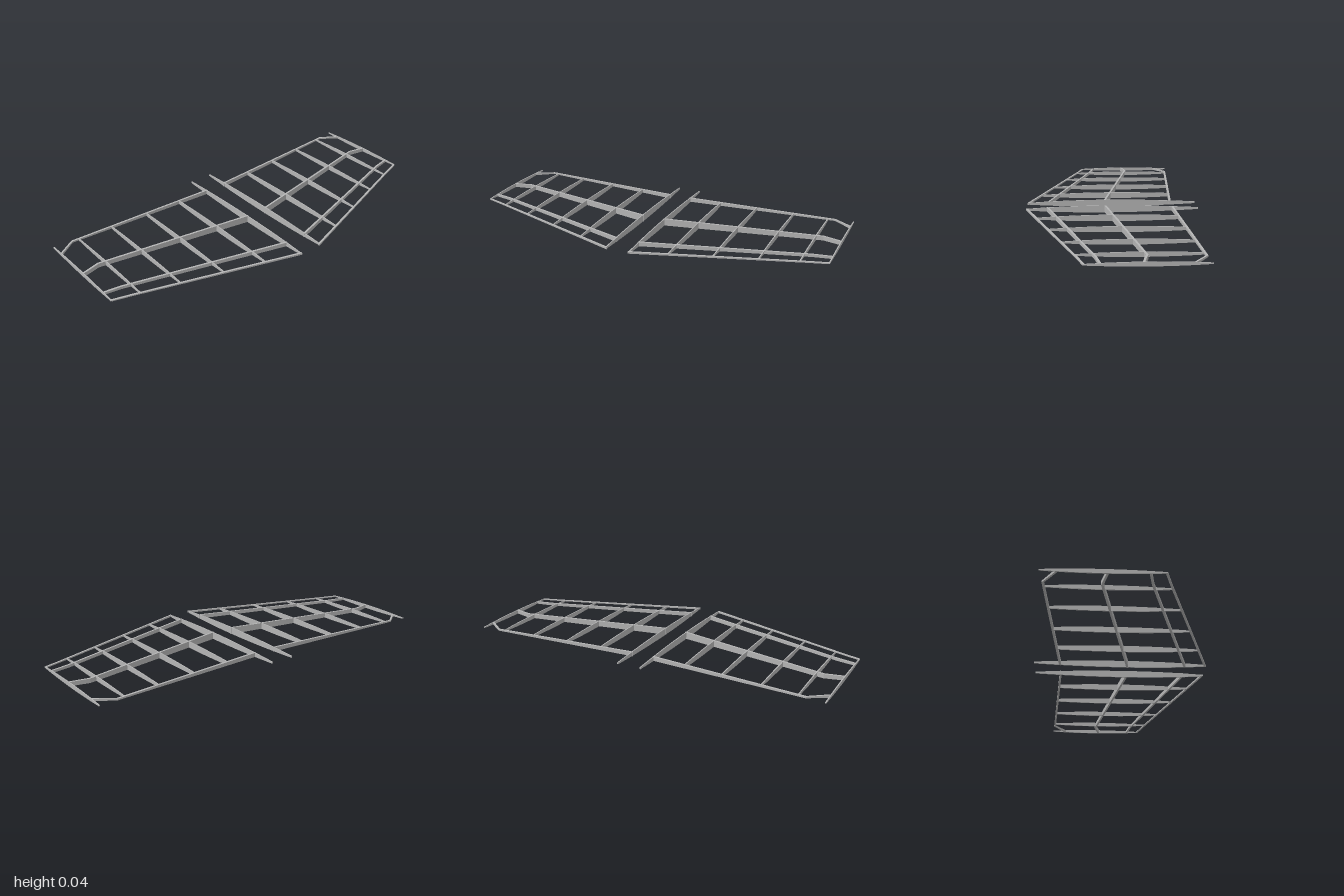
import * as THREE from 'three';

const MID_Y = 0.0188;

// Plan outlines of the spanwise members, as [x, z] from root to tip
const SPARS = {
  leadingEdge: [[0.06, 0.461], [0.9, 0.186], [0.996, 0.157]],
  frontSpar: [[0.06, 0.349], [0.9, 0.105], [0.996, 0.087]],
  mainSpar: [[0.06, 0.036], [0.9, -0.122], [0.996, -0.1]],
  rearSpar: [[0.06, -0.329], [0.9, -0.386], [0.996, -0.321]],
};
const RIBS = [0.065, 0.25, 0.46, 0.672, 0.862, 0.997];

// z of a member at a given x
function zAt(path, x) {
  const i = x > path[1][0] ? 1 : 0;
  const [x0, z0] = path[i], [x1, z1] = path[i + 1];
  return z0 + ((z1 - z0) * (x - x0)) / (x1 - x0);
}

// Half depth of the symmetric aerofoil, thickest at the main spar
function halfDepth(x, z) {
  const t = (x - 0.06) / 0.937;
  const peak = THREE.MathUtils.lerp(0.036, -0.125, t);
  const nose = zAt(SPARS.leadingEdge, x) + 0.005;
  const tail = THREE.MathUtils.lerp(-0.47, -0.4, t);
  const u = Math.min(1, z > peak ? (z - peak) / (nose - peak) : (peak - z) / (peak - tail));
  return THREE.MathUtils.lerp(0.0188, 0.0105, t) * (1 - 0.76 * u * u);
}

// Loft a rectangular section along a plan path, wx and wz being half widths
function loft(path, wx, wz) {
  const pos = [], index = [];
  path.forEach(([x, z]) => {
    const h = halfDepth(Math.abs(x), z);
    pos.push(x - wx, MID_Y - h, z - wz, x + wx, MID_Y - h, z + wz);
    pos.push(x + wx, MID_Y + h, z + wz, x - wx, MID_Y + h, z - wz);
  });
  for (let i = 0; i < path.length - 1; i++) {
    for (let j = 0; j < 4; j++) {
      const a = i * 4 + j, b = i * 4 + ((j + 1) % 4);
      index.push(a, b, b + 4, a, b + 4, a + 4);
    }
  }
  const e = (path.length - 1) * 4;
  index.push(0, 2, 1, 0, 3, 2, e, e + 1, e + 2, e, e + 2, e + 3);
  const g = new THREE.BufferGeometry();
  g.setAttribute('position', new THREE.Float32BufferAttribute(pos, 3));
  g.setIndex(index);
  const flat = g.toNonIndexed();
  flat.computeVertexNormals();
  return flat;
}

export function createModel() {
  const group = new THREE.Group();
  group.name = 'tailplaneFrame';
  const grey = new THREE.MeshStandardMaterial({ color: 0xb4b4b4 });
  grey.name = 'light grey';

  for (const side of [1, -1]) {
    const half = new THREE.Group();
    half.name = side > 0 ? 'leftHalf' : 'rightHalf';
    const add = (name, geometry) => {
      const mesh = new THREE.Mesh(geometry, grey);
      mesh.name = name;
      half.add(mesh);
    };

    // Spanwise members, always lofted towards +x
    for (const [name, points] of Object.entries(SPARS)) {
      const path = points.map(([x, z]) => [x * side, z]);
      if (side < 0) path.reverse();
      add(name, loft(path, 0, -0.0055));
    }

    // Ribs, lofted from tail to nose; root and tip ribs run past the rear spar
    RIBS.forEach((x, i) => {
      const nose = zAt(SPARS.leadingEdge, x) + 0.004;
      const tail = i === 0 ? -0.47 : i === RIBS.length - 1 ? -0.4 : zAt(SPARS.rearSpar, x) - 0.004;
      const path = [];
      for (let k = 0; k <= 24; k++) path.push([x * side, THREE.MathUtils.lerp(tail, nose, k / 24)]);
      add(`rib${i + 1}`, loft(path, 0.0028, 0));
    });
    group.add(half);
  }
  return group;
}
